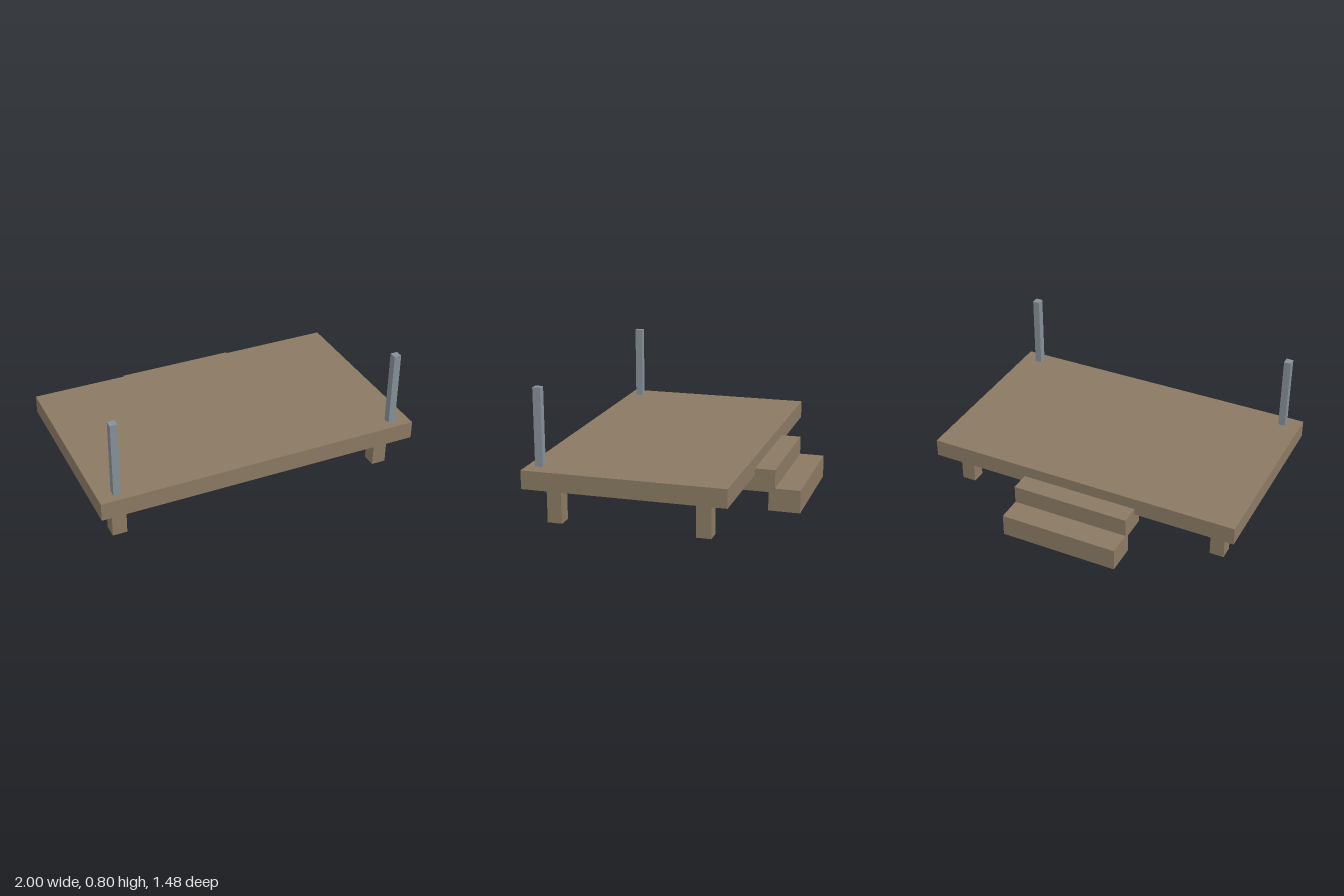
import * as THREE from 'three';

export function createModel() {
  const model = new THREE.Group();
  model.name = 'raisedDeck';

  const wood = new THREE.MeshStandardMaterial({ color: 0x8b7a63 });
  wood.name = 'weathered wood';
  const metal = new THREE.MeshStandardMaterial({ color: 0x869098 });
  metal.name = 'grey metal';

  // Box given by its x centre and width, and its y and z ranges
  function box(name, material, x, width, [y0, y1], [z0, z1]) {
    const mesh = new THREE.Mesh(new THREE.BoxGeometry(width, y1 - y0, z1 - z0), material);
    mesh.name = name;
    mesh.position.set(x, (y0 + y1) / 2, (z0 + z1) / 2);
    model.add(mesh);
  }

  // Platform
  box('deck', wood, 0, 2, [0.222, 0.333], [-0.467, 0.742]);

  // Legs and front posts, mirrored left and right
  for (const [side, s] of [['left', 1], ['right', -1]]) {
    box(side + 'FrontLeg', wood, s * 0.859, 0.089, [0, 0.222], [0.539, 0.628]);
    box(side + 'BackLeg', wood, s * 0.859, 0.089, [0, 0.222], [-0.35, -0.261]);
    box(side + 'Post', metal, s * 0.886, 0.044, [0.333, 0.797], [0.645, 0.692]);
  }

  // Two overlapping steps at the back
  box('upperStep', wood, 0, 0.742, [0.122, 0.261], [-0.589, -0.398]);
  box('lowerStep', wood, 0, 0.742, [0.008, 0.147], [-0.742, -0.55]);

  return model;
}
